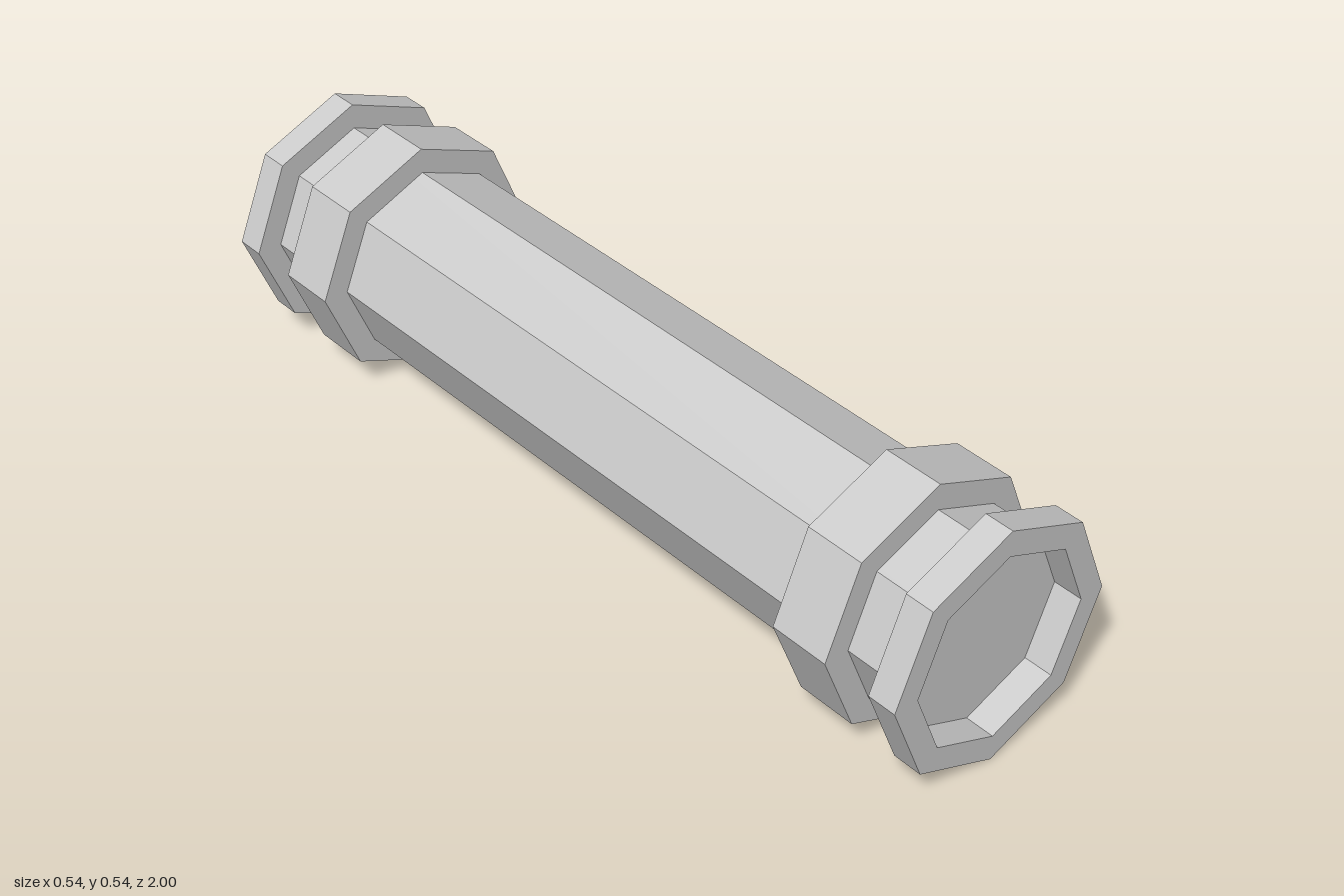
import * as THREE from 'three';

const SIDES = 8;
const TUBE_R = 0.211;   // shaft radius, also the bore of the end rims
const RING_R = 0.268;   // radius of the raised collars and rims

export function createModel() {
  const model = new THREE.Group();
  model.name = 'octagonalTube';
  const material = new THREE.MeshStandardMaterial({ color: 0xcccccc, flatShading: true });

  // Add a part turned so that its axis runs along z
  function add(name, geometry, z) {
    geometry.rotateX(Math.PI / 2);
    const mesh = new THREE.Mesh(geometry, material);
    mesh.name = name;
    mesh.position.set(0, RING_R, z);
    model.add(mesh);
  }

  // Octagonal ring around the shaft; the bore wall is only needed where it shows
  function ring(depth, withBore) {
    const h = depth / 2;
    const profile = [[TUBE_R, -h], [RING_R, -h], [RING_R, h], [TUBE_R, h]];
    if (withBore) profile.push([TUBE_R, -h]);
    return new THREE.LatheGeometry(profile.map(([r, y]) => new THREE.Vector2(r, y)), SIDES);
  }

  // Closed shaft, whose ends form the floors of the rim recesses
  add('shaft', new THREE.CylinderGeometry(TUBE_R, TUBE_R, 1.87, SIDES), 0);

  // Wide collar and open rim at each end
  for (const [end, s] of [['front', 1], ['back', -1]]) {
    add(end + 'Collar', ring(0.135, false), s * 0.758);
    add(end + 'Rim', ring(0.065, true), s * 0.9675);
  }
  return model;
}
